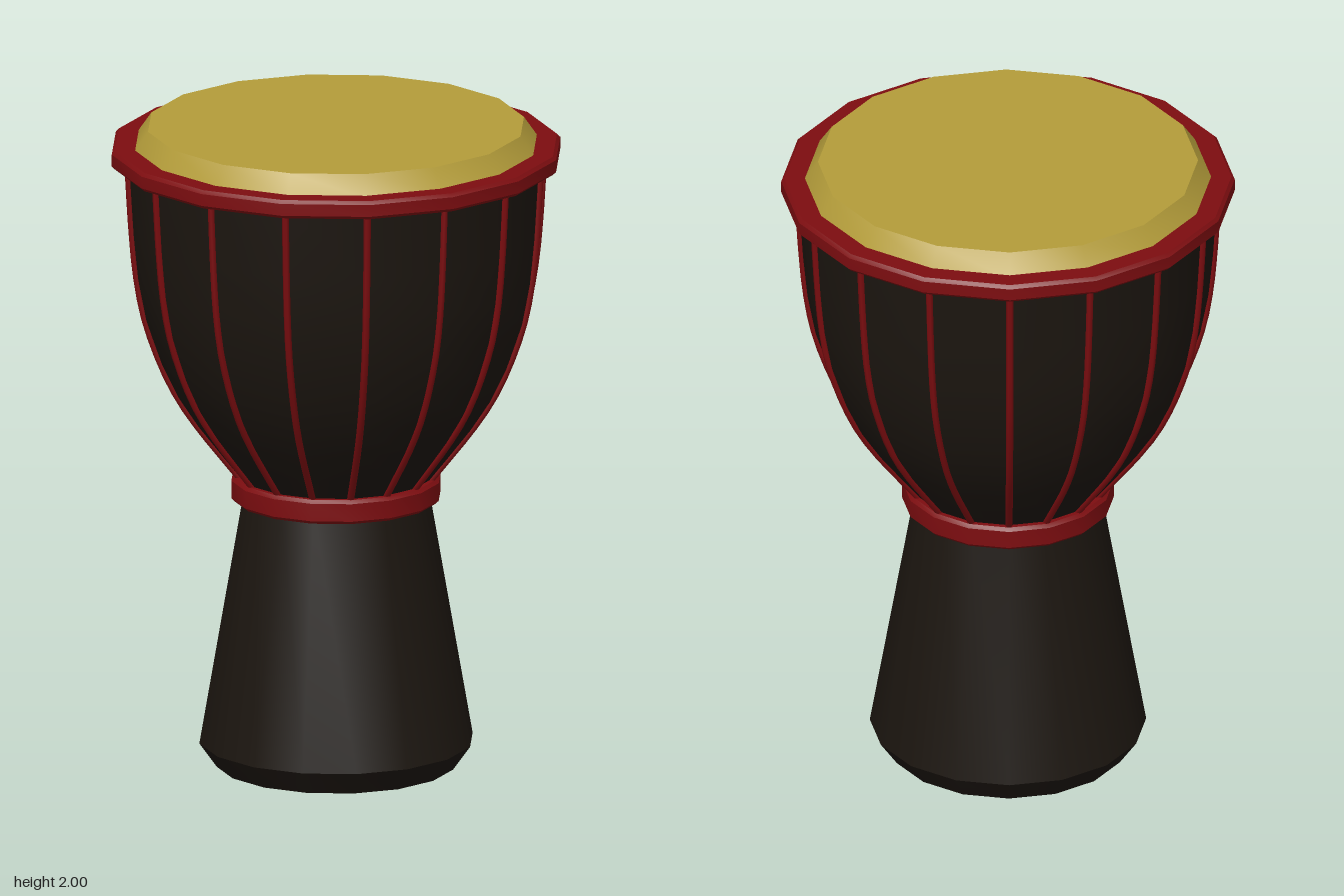
import * as THREE from 'three';
import { toCreasedNormals } from 'three/addons/utils/BufferGeometryUtils.js';

const SIDES = 16;

export function createModel() {
  const drum = new THREE.Group();
  drum.name = 'handDrum';

  const wood = new THREE.MeshStandardMaterial({ color: 0x1c1610 });
  const red = new THREE.MeshStandardMaterial({ color: 0x7d0d10 });
  const hide = new THREE.MeshStandardMaterial({ color: 0xb39c3a });

  // Turned part from [radius, height] pairs, bottom to top
  const turned = (name, profile, material) => {
    const points = profile.map(([r, y]) => new THREE.Vector2(r, y));
    const geometry = toCreasedNormals(new THREE.LatheGeometry(points, SIDES), 0.6);
    const mesh = new THREE.Mesh(geometry, material);
    mesh.name = name;
    drum.add(mesh);
  };

  // Band with small bevels on its outer edges
  const band = (name, inner, outer, bottom, top) => {
    const b = 0.01;
    turned(name, [
      [inner, bottom], [outer - b, bottom], [outer, bottom + b],
      [outer, top - b], [outer - b, top], [inner, top],
    ], red);
  };

  // Flared foot with a chamfered, closed bottom
  turned('foot', [[0, 0], [0.365, 0], [0.418, 0.075], [0.28, 0.87]], wood);

  // Bowl-shaped body
  const bowl = [
    [0.275, 0.88], [0.35, 0.975], [0.423, 1.07], [0.485, 1.165], [0.535, 1.27],
    [0.583, 1.41], [0.608, 1.54], [0.622, 1.68], [0.636, 1.91],
  ];
  turned('bowl', bowl, wood);

  // Waist ring, rim hoop and the skin stretched over the top
  band('waistRing', 0.26, 0.32, 0.83, 0.905);
  band('rimHoop', 0.59, 0.686, 1.886, 1.943);
  turned('drumSkin', [[0.62, 1.935], [0.575, 2], [0, 2]], hide);

  // Tension ropes following the bowl, one on each corner
  const path = new THREE.CatmullRomCurve3(
    bowl.map(([r, y]) => new THREE.Vector3(0, y, r + 0.002)));
  const ropeGeometry = new THREE.TubeGeometry(path, 18, 0.011, 6);
  const ropes = new THREE.Group();
  ropes.name = 'ropes';
  for (let i = 0; i < SIDES; i++) {
    const rope = new THREE.Mesh(ropeGeometry, red);
    rope.name = 'rope';
    rope.rotation.y = (i / SIDES) * Math.PI * 2;
    ropes.add(rope);
  }
  drum.add(ropes);

  return drum;
}
